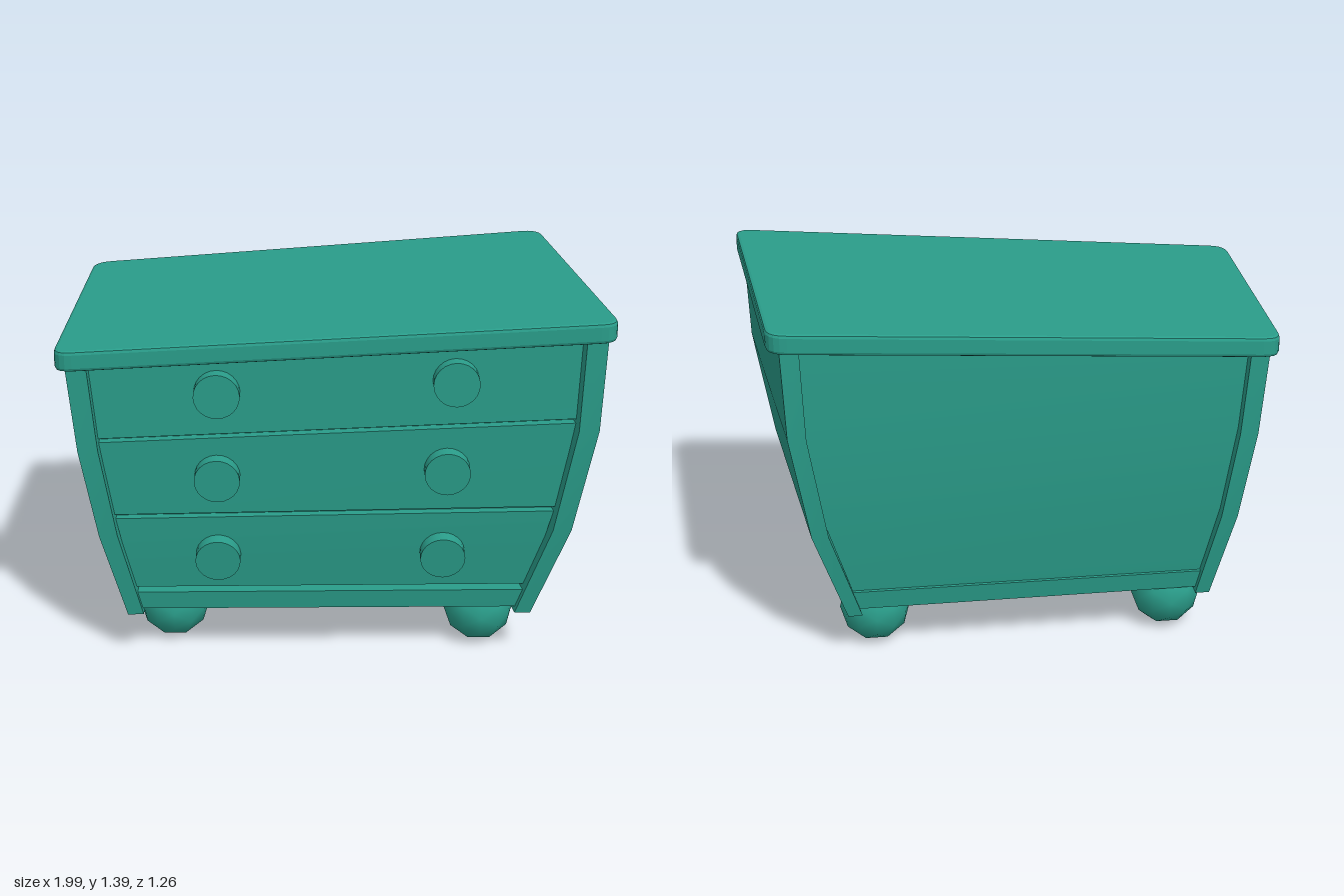
import * as THREE from 'three';

const material = new THREE.MeshStandardMaterial({ color: 0x2a9d8a, side: THREE.DoubleSide });

// Bulging, crooked body: one column per corner, four levels from bottom to top
const columns = {
  frontLow: { x: [-0.78, -0.87, -0.93, -0.96], y: [0.18, 0.53, 0.88, 1.22], z: [0.41, 0.46, 0.485, 0.495] },
  backLow: { x: [-0.755, -0.835, -0.885, -0.91], y: [0.18, 0.53, 0.88, 1.22], z: [-0.44, -0.5, -0.535, -0.545] },
  frontHigh: { x: [0.75, 0.88, 0.955, 0.97], y: [0.18, 0.55, 0.96, 1.33], z: [0.455, 0.52, 0.56, 0.565] },
  backHigh: { x: [0.64, 0.765, 0.835, 0.85], y: [0.18, 0.55, 0.96, 1.33], z: [-0.455, -0.52, -0.56, -0.565] },
};

function columnPoint(column, v) {
  const s = Math.min(Math.max(v, 0), 1) * 3;
  const i = Math.min(Math.floor(s), 2);
  const at = (a) => THREE.MathUtils.lerp(a[i], a[i + 1], s - i);
  return new THREE.Vector3(at(column.x), at(column.y), at(column.z));
}

// u runs along x, v up, w from back to front, each 0 to 1
function bodyPoint(u, v, w) {
  const low = columnPoint(columns.backLow, v).lerp(columnPoint(columns.frontLow, v), w);
  const high = columnPoint(columns.backHigh, v).lerp(columnPoint(columns.frontHigh, v), w);
  return low.lerp(high, u);
}

function addMesh(parent, name, geometry) {
  const mesh = new THREE.Mesh(geometry, material);
  mesh.name = name;
  parent.add(mesh);
  return mesh;
}

// A box bent into the body shape
function addBlock(parent, name, [u0, u1], [v0, v1], [w0, w1]) {
  const geometry = new THREE.BoxGeometry(1, 1, 1, 1, 3, 1);
  const pos = geometry.attributes.position;
  const { lerp } = THREE.MathUtils;
  for (let i = 0; i < pos.count; i++) {
    const p = bodyPoint(
      lerp(u0, u1, pos.getX(i) + 0.5),
      lerp(v0, v1, pos.getY(i) + 0.5),
      lerp(w0, w1, pos.getZ(i) + 0.5));
    pos.setXYZ(i, p.x, p.y, p.z);
  }
  geometry.computeVertexNormals();
  return addMesh(parent, name, geometry);
}

// Crooked four-cornered outline with rounded corners
function roundedOutline(corners, radius) {
  const shape = new THREE.Shape();
  corners.forEach((c, i) => {
    const toward = (other) => c.clone().add(other.clone().sub(c).setLength(radius));
    const start = toward(corners[(i + 3) % 4]);
    const end = toward(corners[(i + 1) % 4]);
    if (i === 0) shape.moveTo(start.x, start.y);
    else shape.lineTo(start.x, start.y);
    shape.quadraticCurveTo(c.x, c.y, end.x, end.y);
  });
  shape.closePath();
  return shape;
}

function lidGeometry() {
  const corners = [[-1, 0.52], [-0.935, -0.605], [0.89, -0.635], [1, 0.625]].map(([x, z]) => new THREE.Vector2(x, z));
  const geometry = new THREE.ExtrudeGeometry(roundedOutline(corners, 0.07), {
    depth: 0.05, bevelThickness: 0.013, bevelSize: 0.013, bevelOffset: -0.013, bevelSegments: 2, curveSegments: 5,
  });
  geometry.rotateX(Math.PI / 2);
  // Tilt the lid up toward the taller side
  const pos = geometry.attributes.position;
  for (let i = 0; i < pos.count; i++) {
    pos.setY(i, pos.getY(i) + 1.319 + 0.06 * pos.getX(i) - 0.006 * pos.getZ(i));
  }
  geometry.computeVertexNormals();
  return geometry;
}

export function createModel() {
  const model = new THREE.Group();
  model.name = 'crookedDresser';

  // Case
  const edge = 0.039;
  const inside = [edge, 1 - edge];
  addBlock(model, 'rightSidePanel', [0, edge], [0, 1], [0, 1]);
  addBlock(model, 'leftSidePanel', [1 - edge, 1], [0, 1], [0, 1]);
  addBlock(model, 'carcass', inside, [0.03, 1], [0.045, 0.92]);
  addBlock(model, 'bottomBoard', inside, [0.015, 0.085], [0.03, 0.975]);
  addMesh(model, 'lid', lidGeometry());

  // Drawers, each with two round knobs
  const rows = [
    { span: [0.1, 0.384], knobV: 0.235, knobU: [0.245, 0.745] },
    { span: [0.4, 0.68], knobV: 0.54, knobU: [0.262, 0.723] },
    { span: [0.695, 1], knobV: 0.85, knobU: [0.275, 0.727] },
  ];
  const front = 0.955;
  for (const { span, knobV, knobU } of rows) {
    const drawer = new THREE.Group();
    drawer.name = 'drawer';
    model.add(drawer);
    addBlock(drawer, 'drawerFront', inside, span, [0.9, front]);
    for (const u of knobU) {
      const knob = addMesh(drawer, 'knob', new THREE.CylinderGeometry(0.084, 0.084, 0.09, 24));
      const p = bodyPoint(u, knobV, front);
      const up = bodyPoint(u, knobV + 0.1, front).sub(p);
      const across = bodyPoint(u + 0.1, knobV, front).sub(p);
      const normal = across.cross(up).normalize();
      knob.quaternion.setFromUnitVectors(new THREE.Vector3(0, 1, 0), normal);
      knob.position.copy(p).addScaledVector(normal, 0.005);
    }
  }

  // Ball feet
  const footSpots = [[-0.61, 0.2], [-0.61, -0.3], [0.57, 0.285], [0.53, -0.285]];
  for (const [x, z] of footSpots) {
    addMesh(model, 'foot', new THREE.IcosahedronGeometry(0.135, 1)).position.set(x, 0.133, z);
  }
  return model;
}
